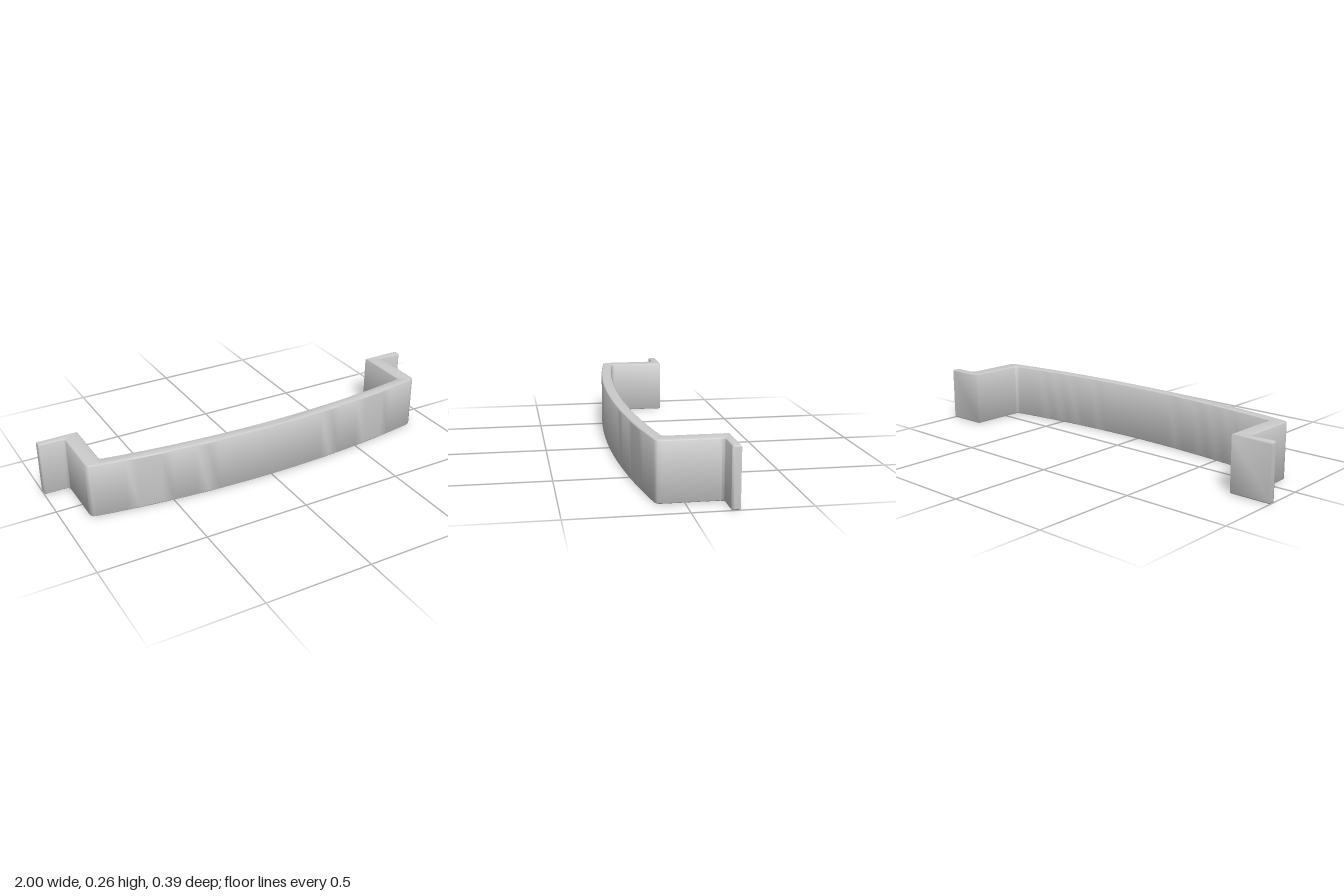
import * as THREE from 'three';
import { toCreasedNormals } from 'three/addons/utils/BufferGeometryUtils.js';

const HEIGHT = 0.262, EDGE = 0.007;
const BACK = 0.197, FRONT = -0.197; // plan coordinates: y = -z
const ARC_CENTRE = 4.803, OUTER_R = 5, INNER_R = 4.948;

// Plan y of a bow arc at a given x
const bow = (x, r) => ARC_CENTRE - Math.sqrt(r * r - x * x);

// Closed outline from [x, y, cornerRadius] points
function roundedOutline(points) {
  const shape = new THREE.Shape();
  const n = points.length;
  points.forEach(([x, y, r], i) => {
    const p = new THREE.Vector2(x, y);
    const toward = (q) => new THREE.Vector2(q[0], q[1]).sub(p).setLength(r).add(p);
    const a = r ? toward(points[(i + n - 1) % n]) : p;
    if (i === 0) shape.moveTo(a.x, a.y);
    else shape.lineTo(a.x, a.y);
    if (r) {
      const b = toward(points[(i + 1) % n]);
      shape.quadraticCurveTo(p.x, p.y, b.x, b.y);
    }
  });
  shape.closePath();
  return shape;
}

// Points along a bow arc, between its end corners
function arcPoints(halfWidth, r, steps = 32) {
  const pts = [];
  for (let i = 1; i < steps; i++) {
    const x = halfWidth * (1 - (2 * i) / steps);
    pts.push([x, bow(x, r), 0]);
  }
  return pts;
}

export function createModel() {
  const group = new THREE.Group();
  group.name = 'bowHandle';

  // Outer side of one end: mounting flange, then leg
  const outerEnd = [
    [1, BACK, 0],
    [1, BACK - 0.038, 0.012],
    [0.88, BACK - 0.038, 0.02],
    [0.88, bow(0.88, OUTER_R), 0.025],
  ];
  // Inner side of one end
  const innerEnd = [
    [0.805, bow(0.805, INNER_R), 0.018],
    [0.805, BACK, 0],
  ];
  const mirror = (pts) => pts.map(([x, y, r]) => [-x, y, r]).reverse();

  const outline = roundedOutline([
    ...outerEnd,
    ...arcPoints(0.88, OUTER_R),
    ...mirror(outerEnd),
    ...mirror(innerEnd),
    ...arcPoints(0.805, INNER_R).reverse(),
    ...innerEnd,
  ]);

  // Plan profile raised to full height with softened top and bottom edges
  const geometry = new THREE.ExtrudeGeometry(outline, {
    depth: HEIGHT - 2 * EDGE,
    curveSegments: 6,
    bevelEnabled: true,
    bevelThickness: EDGE,
    bevelSize: EDGE,
    bevelOffset: -EDGE,
    bevelSegments: 4,
  });
  geometry.translate(0, 0, EDGE);
  geometry.rotateX(-Math.PI / 2);

  const handle = new THREE.Mesh(
    toCreasedNormals(geometry, 0.7),
    new THREE.MeshStandardMaterial({ color: 0xcccccc })
  );
  handle.name = 'handle';
  group.add(handle);
  return group;
}
